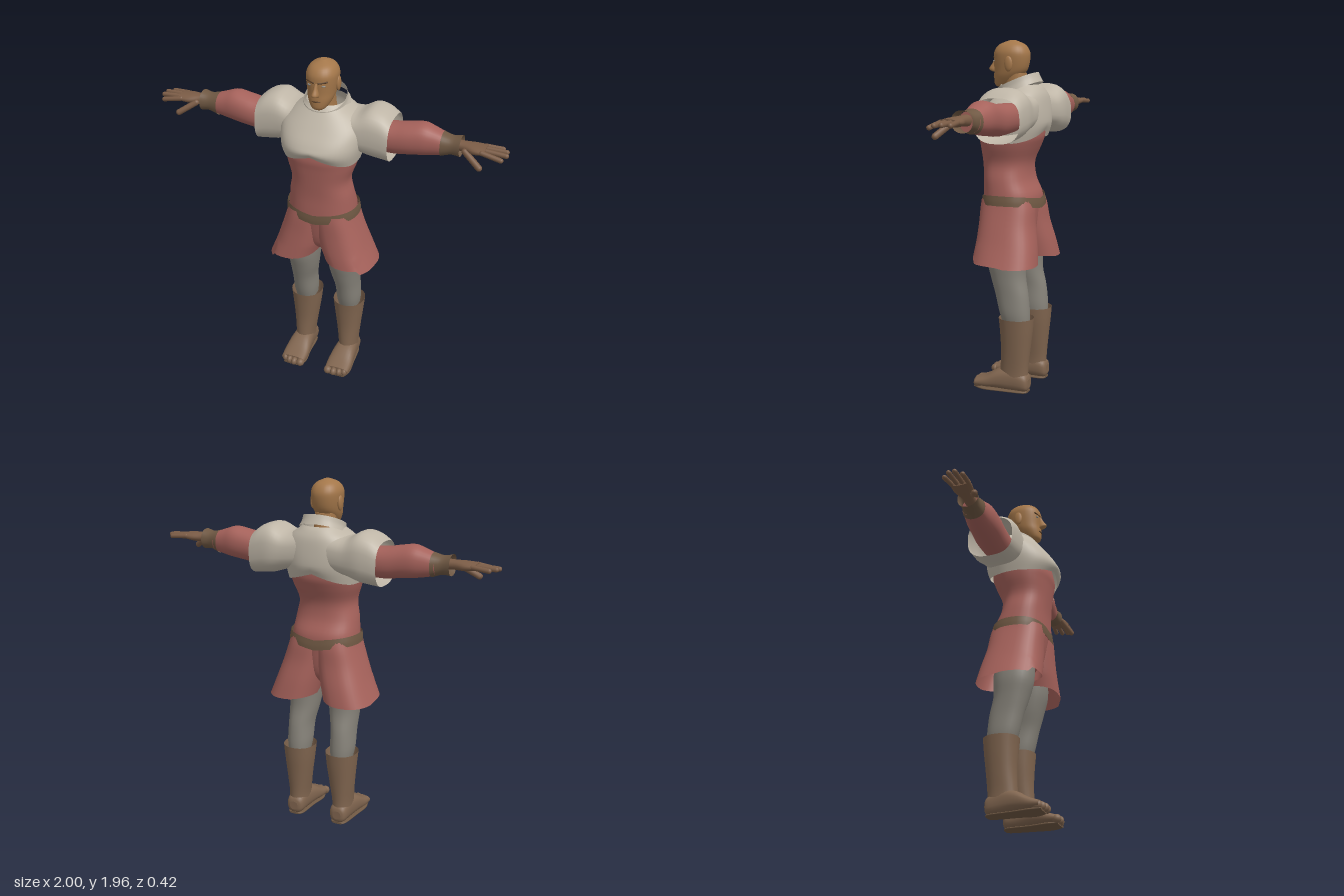
import * as THREE from 'three';

const mat = (name, color, side = THREE.DoubleSide) => {
  const m = new THREE.MeshStandardMaterial({ color, side });
  m.name = name;
  return m;
};

// Smooth loft of super-ellipse sections [t, uMin, uMax, vMin, vMax].
// axis y: u = x, v = z; axis x: u = z, v = y; axis z: u = y, v = x.
function loft(axis, sections, { p = 2.2, n = 28, steps = 4, caps = true, bend = null } = {}) {
  const rows = [];
  const cr = (a, b, c, d, t) => 0.5 * (2 * b + (c - a) * t + (2 * a - 5 * b + 4 * c - d) * t * t + (3 * b - a - 3 * c + d) * t * t * t);
  const at = (i) => sections[Math.min(Math.max(i, 0), sections.length - 1)];
  for (let i = 0; i < sections.length - 1; i++)
    for (let s = 0; s < steps; s++)
      rows.push(at(i).map((_, k) => cr(at(i - 1)[k], at(i)[k], at(i + 1)[k], at(i + 2)[k], s / steps)));
  rows.push(at(sections.length - 1));
  const pos = [], idx = [];
  const put = (t, u, v) => {
    const q = axis === 'y' ? [u, t, v] : axis === 'x' ? [t, v, u] : [v, u, t];
    if (bend) bend(q);
    return pos.push(...q) / 3 - 1;
  };
  const pw = (c) => Math.sign(c) * Math.abs(c) ** (2 / p);
  const ring = ([t, u0, u1, v0, v1]) => {
    for (let j = 0; j < n; j++) {
      const a = (j / n) * Math.PI * 2;
      put(t, (u0 + u1) / 2 + ((u1 - u0) / 2) * pw(Math.cos(a)), (v0 + v1) / 2 + ((v1 - v0) / 2) * pw(Math.sin(a)));
    }
  };
  rows.forEach(ring);
  for (let i = 0; i < rows.length - 1; i++)
    for (let j = 0; j < n; j++) {
      const a = i * n + j, b = i * n + ((j + 1) % n);
      idx.push(a, a + n, b, b, a + n, b + n);
    }
  if (caps)
    for (const end of [0, rows.length - 1]) {
      const r = rows[end], base = pos.length / 3;
      ring(r);
      const c = put(r[0], (r[1] + r[2]) / 2, (r[3] + r[4]) / 2);
      for (let j = 0; j < n; j++) {
        const a = base + j, b = base + ((j + 1) % n);
        end ? idx.push(c, b, a) : idx.push(c, a, b);
      }
    }
  const g = new THREE.BufferGeometry();
  g.setAttribute('position', new THREE.Float32BufferAttribute(pos, 3));
  g.setIndex(idx);
  g.computeVertexNormals();
  return g;
}

// Mirror a geometry across x and keep its faces pointing outward.
function mirror(g) {
  const m = g.clone().scale(-1, 1, 1), a = m.index.array;
  for (let i = 0; i < a.length; i += 3) [a[i], a[i + 1]] = [a[i + 1], a[i]];
  m.computeVertexNormals();
  return m;
}

// Rounded rod between two points.
function rod(a, b, r) {
  const A = new THREE.Vector3(...a), B = new THREE.Vector3(...b), d = B.clone().sub(A);
  const g = new THREE.CapsuleGeometry(r, d.length(), 5, 10);
  g.applyQuaternion(new THREE.Quaternion().setFromUnitVectors(new THREE.Vector3(0, 1, 0), d.clone().normalize()));
  const c = A.add(B).multiplyScalar(0.5);
  return g.translate(c.x, c.y, c.z);
}

const ball = (x, y, z, rx, ry, rz) => new THREE.SphereGeometry(1, 16, 12).scale(rx, ry, rz).translate(x, y, z);

export function createModel() {
  const model = new THREE.Group();
  const skin = mat('skin', 0xa4774a, THREE.FrontSide), cream = mat('creamCloth', 0xbfb6a7), red = mat('redCloth', 0xa6625b);
  const grey = mat('greyLeggings', 0x87837a), boot = mat('bootLeather', 0x80654f), leather = mat('beltLeather', 0x6f5843);
  const glove = mat('gloveLeather', 0x7b5c46, THREE.FrontSide), eye = mat('eyeGrey', 0x8c8a84, THREE.FrontSide), dark = mat('browBrown', 0x5c4129, THREE.FrontSide);
  const add = (name, g, m) => {
    const mesh = new THREE.Mesh(g, m);
    mesh.name = name;
    model.add(mesh);
  };
  const pair = (name, g, m) => {
    add(name + 'Left', g, m);
    add(name + 'Right', mirror(g), m);
  };

  // Head, neck and face
  add('head', loft('y', [
    [1.705, -0.025, 0.025, 0.05, 0.095], [1.72, -0.045, 0.045, 0.0, 0.108], [1.76, -0.066, 0.066, -0.045, 0.11],
    [1.80, -0.076, 0.076, -0.08, 0.108], [1.86, -0.084, 0.084, -0.094, 0.11], [1.90, -0.082, 0.082, -0.09, 0.105],
    [1.935, -0.06, 0.06, -0.065, 0.078], [1.957, -0.015, 0.015, -0.015, 0.022]]), skin);
  add('neck', loft('y', [[1.62, -0.075, 0.075, -0.12, 0.05], [1.70, -0.06, 0.06, -0.085, 0.045], [1.78, -0.058, 0.058, -0.075, 0.05]]), skin);
  add('nose', loft('y', [[1.785, -0.016, 0.016, 0.09, 0.122], [1.80, -0.019, 0.019, 0.09, 0.146], [1.83, -0.011, 0.011, 0.09, 0.128], [1.86, -0.009, 0.009, 0.09, 0.113]], { n: 14 }), skin);
  add('mouth', ball(0, 1.757, 0.106, 0.026, 0.005, 0.008), dark);
  pair('ear', ball(0.082, 1.832, -0.005, 0.012, 0.042, 0.024), skin);
  pair('eye', ball(0.034, 1.846, 0.097, 0.016, 0.006, 0.008), eye);
  pair('brow', rod([0.015, 1.862, 0.108], [0.055, 1.868, 0.091], 0.005), dark);

  // Tunic body
  add('tunic', loft('y', [
    [1.06, -0.19, 0.19, -0.155, 0.15], [1.12, -0.187, 0.187, -0.15, 0.15], [1.2, -0.178, 0.178, -0.115, 0.15],
    [1.29, -0.163, 0.163, -0.11, 0.158], [1.38, -0.19, 0.19, -0.145, 0.168], [1.44, -0.2, 0.2, -0.165, 0.175], [1.52, -0.19, 0.19, -0.16, 0.16]],
  { p: 2.4, n: 36 }), red);

  // Mantle with a scalloped hem rising at the middle of the chest
  const hem = (q) => {
    const low = Math.max(0, (1.52 - q[1]) / 0.11);
    q[1] += low * 0.06 * Math.max(0, 1 - Math.abs(q[0]) / 0.19);
  };
  add('mantle', loft('y', [
    [1.41, -0.205, 0.205, -0.185, 0.19], [1.47, -0.22, 0.22, -0.2, 0.213], [1.53, -0.23, 0.23, -0.205, 0.2], [1.60, -0.23, 0.23, -0.2, 0.15],
    [1.66, -0.18, 0.18, -0.19, 0.105], [1.70, -0.125, 0.125, -0.17, 0.075], [1.72, -0.105, 0.105, -0.15, 0.06]],
  { p: 2.3, n: 48, caps: false, bend: hem }), cream);
  // Standing collar, high behind and open in front
  const tilt = (q) => { q[1] += (-0.03 - q[2]) * 0.42; };
  add('collar', loft('y', [[1.68, -0.13, 0.13, -0.165, 0.08], [1.71, -0.118, 0.118, -0.152, 0.085], [1.74, -0.115, 0.115, -0.14, 0.085]], { caps: false, bend: tilt }), cream);

  // Puffed short sleeves
  pair('sleeve', loft('x', [
    [0.08, -0.19, 0.06, 1.48, 1.685], [0.18, -0.2, 0.072, 1.465, 1.675], [0.26, -0.21, 0.07, 1.44, 1.713],
    [0.33, -0.206, 0.067, 1.43, 1.70], [0.38, -0.2, 0.065, 1.425, 1.665]], { p: 2.7, n: 32, caps: false }), cream);

  // Arms
  pair('arm', loft('x', [
    [0.2, -0.14, 0.02, 1.47, 1.63], [0.37, -0.148, 0.028, 1.465, 1.635], [0.46, -0.145, 0.03, 1.475, 1.65],
    [0.54, -0.142, 0.022, 1.485, 1.662], [0.60, -0.13, 0.01, 1.495, 1.645], [0.67, -0.115, 0.0, 1.51, 1.62]]), red);
  pair('cuff', loft('x', [[0.645, -0.123, 0.008, 1.5, 1.63], [0.70, -0.107, -0.002, 1.518, 1.618], [0.748, -0.112, 0.006, 1.515, 1.628]], { caps: false }), leather);

  // Hands
  pair('palm', loft('x', [
    [0.7, -0.085, -0.02, 1.545, 1.605], [0.76, -0.085, -0.015, 1.55, 1.602], [0.82, -0.1, 0.008, 1.55, 1.6], [0.88, -0.1, 0.012, 1.56, 1.595]], { n: 18 }), glove);
  const fingers = [[-0.088, 0.955, 1.572], [-0.06, 0.982, 1.575], [-0.03, 0.987, 1.572], [0.0, 0.968, 1.56]];
  fingers.forEach(([z, x, y], i) => pair('finger' + (i + 1), rod([0.865, 1.578, z], [x, y, z + (i - 1.5) * 0.006], 0.0135), glove));
  pair('thumb', rod([0.775, 1.565, -0.01], [0.865, 1.508, 0.033], 0.017), glove);

  // Belt, dipping towards the middle
  const sag = (q) => { q[1] -= 0.028 * Math.max(0, 1 - Math.abs(q[0]) / 0.2); };
  add('belt', loft('y', [[1.065, -0.207, 0.207, -0.17, 0.157], [1.09, -0.205, 0.205, -0.168, 0.158], [1.12, -0.2, 0.2, -0.162, 0.156]],
    { p: 2.4, n: 40, caps: false, bend: sag }), leather);

  // Wide shorts with an uneven hem
  const ragged = (q) => {
    const low = Math.max(0, (0.86 - q[1]) / 0.12);
    q[1] += low * (0.035 * THREE.MathUtils.smoothstep(q[2], -0.08, 0.0) * (q[0] < 0.25 ? 1 : 0.3) + 0.02 * Math.max(0, 1 - q[0] / 0.15));
  };
  pair('shortsLeg', loft('y', [
    [0.735, 0.025, 0.31, -0.205, 0.155], [0.84, 0.003, 0.27, -0.19, 0.152], [0.95, -0.02, 0.232, -0.168, 0.148], [1.04, -0.03, 0.203, -0.16, 0.148], [1.09, -0.04, 0.19, -0.15, 0.145]],
  { p: 2.5, n: 36, caps: false, bend: ragged }), red);
  add('shortsSeat', loft('y', [[0.83, -0.04, 0.04, -0.08, 0.06], [0.9, -0.12, 0.12, -0.13, 0.11], [1.08, -0.18, 0.18, -0.15, 0.145]]), red);

  // Legs and boots
  pair('legging', loft('y', [
    [0.4, 0.075, 0.195, -0.155, 0.0], [0.46, 0.068, 0.203, -0.155, 0.02], [0.56, 0.065, 0.203, -0.145, 0.045],
    [0.66, 0.045, 0.208, -0.125, 0.075], [0.76, 0.03, 0.215, -0.125, 0.1], [0.88, 0.015, 0.2, -0.13, 0.1]]), grey);
  pair('bootShaft', loft('y', [
    [0.06, 0.085, 0.195, -0.15, 0.02], [0.13, 0.083, 0.195, -0.148, 0.015], [0.24, 0.068, 0.205, -0.158, 0.01], [0.35, 0.052, 0.217, -0.17, 0.015], [0.43, 0.043, 0.226, -0.176, 0.022]],
  { caps: false }), boot);
  pair('bootFoot', loft('z', [
    [-0.157, 0.03, 0.08, 0.115, 0.165], [-0.14, 0.008, 0.11, 0.09, 0.188], [-0.06, 0.006, 0.14, 0.083, 0.198],
    [0.02, 0.01, 0.125, 0.073, 0.208], [0.09, 0.012, 0.085, 0.066, 0.215], [0.15, 0.015, 0.062, 0.07, 0.212]], { p: 2.5 }), boot);
  const toes = [[0.09, 0.155, 0.024], [0.127, 0.158, 0.019], [0.16, 0.15, 0.018], [0.19, 0.138, 0.018]];
  toes.forEach(([x, z, r], i) => pair('bootToe' + (i + 1), ball(x, 0.034, z, r, 0.024, 0.026), boot));
  pair('bootSole', loft('z', [[-0.15, 0, 0.012, 0.11, 0.17], [-0.12, 0, 0.014, 0.09, 0.188], [0.0, 0, 0.014, 0.085, 0.2], [0.1, 0, 0.018, 0.072, 0.21], [0.16, 0.006, 0.022, 0.09, 0.195]], { p: 3 }), leather);
  return model;
}
